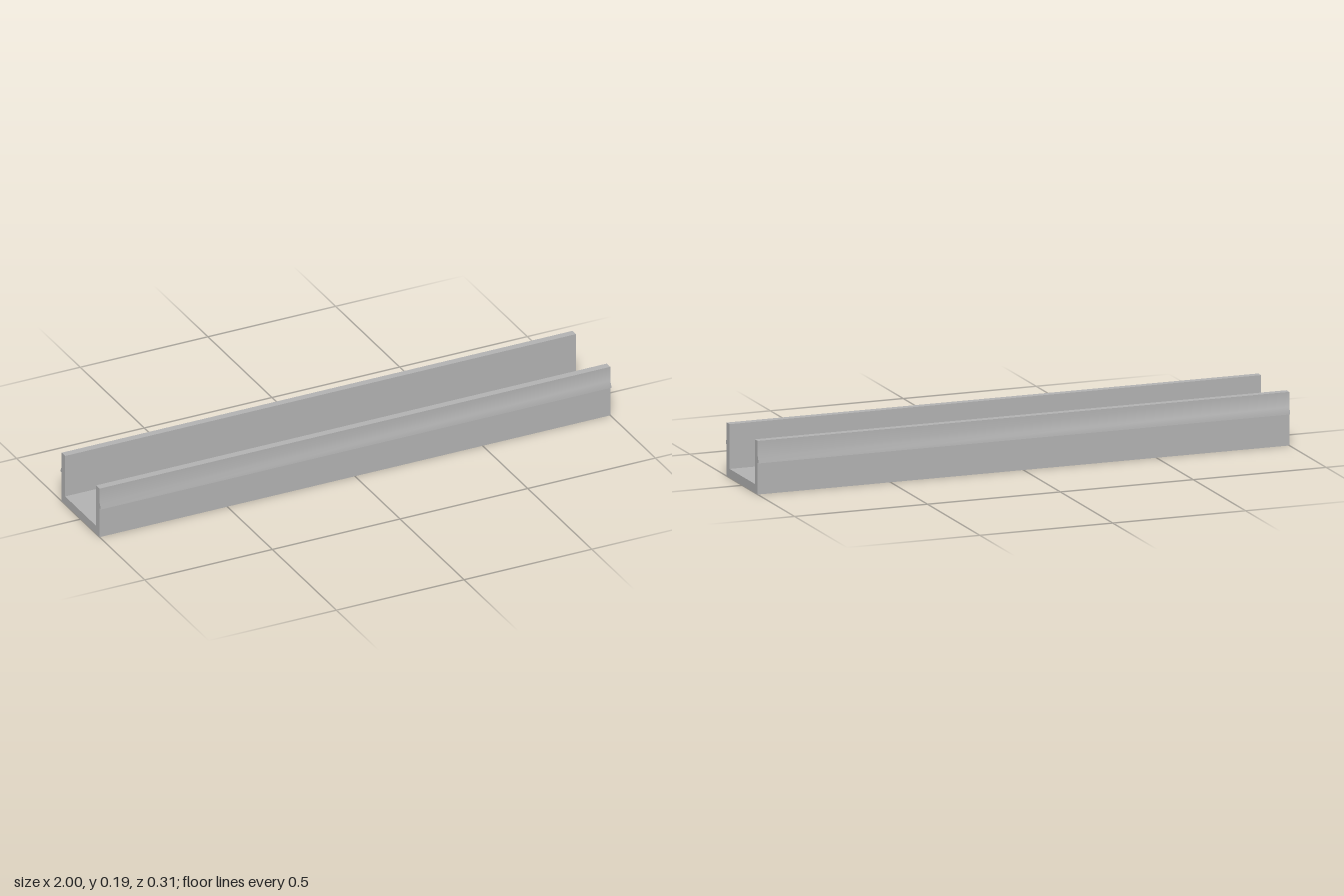
import * as THREE from 'three';
import { toCreasedNormals } from 'three/addons/utils/BufferGeometryUtils.js';

export function createModel() {
  const group = new THREE.Group();
  group.name = 'channelRail';
  const grey = new THREE.MeshStandardMaterial({ color: 0xb2b2b2 });
  grey.name = 'grey';

  // Half of the U-shaped cross-section, from the base up the outer wall and down the inner wall
  const half = [
    [0.148, 0], [0.148, 0.114], // outer wall
    [0.157, 0.114], [0.157, 0.118], [0.148, 0.138], // snap lip
    [0.148, 0.193], [0.121, 0.193], // rim
    [0.121, 0.032], // channel floor
  ];
  const mirrored = half.map(([x, y]) => [-x, y]).reverse();
  const shape = new THREE.Shape([...half, ...mirrored].map(([x, y]) => new THREE.Vector2(x, y)));

  // Sweep the section along x, blending only the shallow bends around the lip
  const swept = new THREE.ExtrudeGeometry(shape, { depth: 2, bevelEnabled: false });
  swept.translate(0, 0, -1).rotateY(Math.PI / 2);
  const channel = new THREE.Mesh(toCreasedNormals(swept, Math.PI / 6), grey);
  channel.name = 'channel';
  group.add(channel);
  return group;
}
